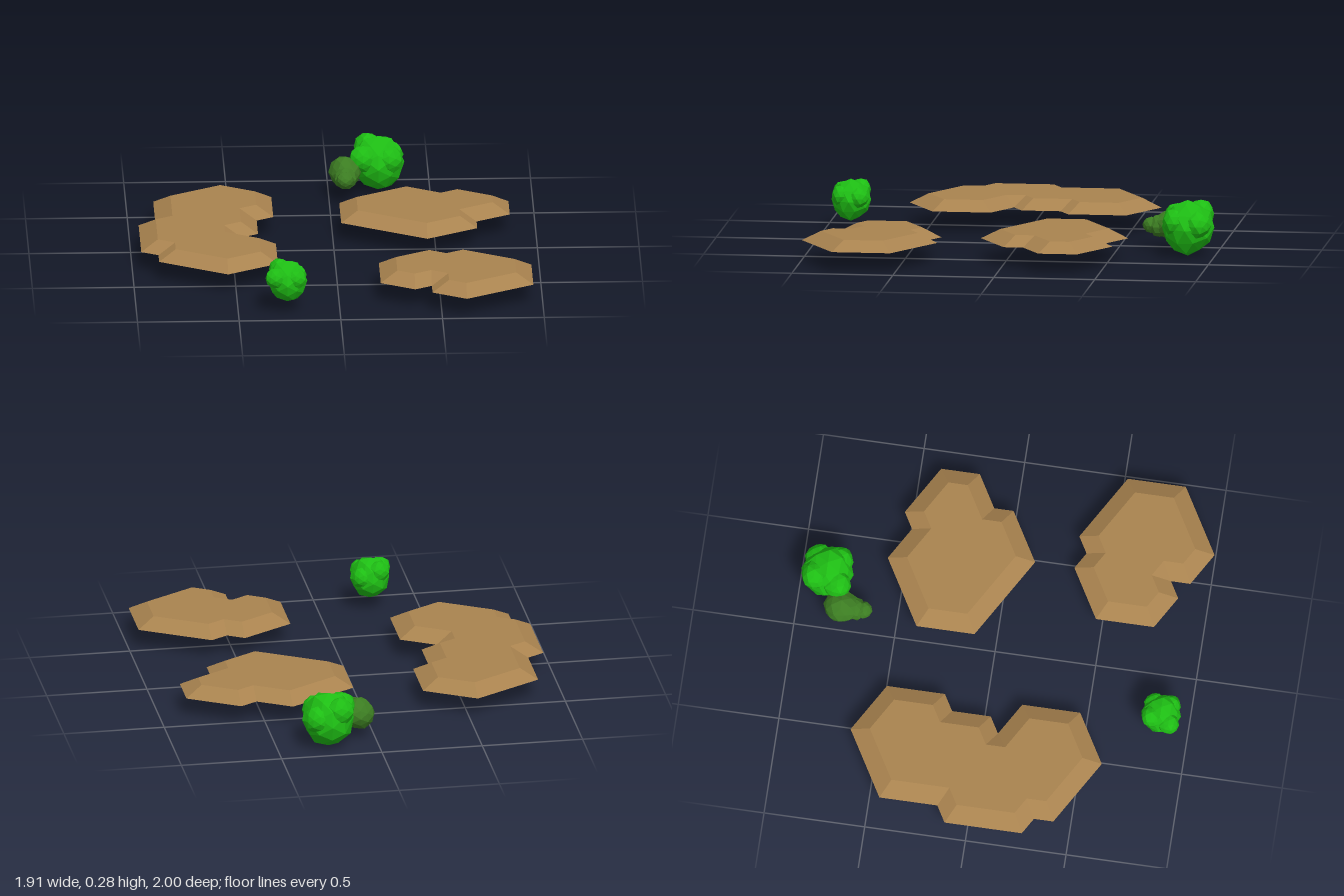
import * as THREE from 'three';

const BOTTOM = 0.105, TOP = 0.153, BEVEL = 0.083;
// Slab outlines lie on a hexagonal lattice with these steps.
const STEP_X = 0.0832, STEP_Z = 0.048;

const brown = new THREE.MeshStandardMaterial({ color: 0xa9834f, flatShading: true, side: THREE.DoubleSide });
const green = new THREE.MeshStandardMaterial({ color: 0x1ebe14, flatShading: true });
const darkGreen = new THREE.MeshStandardMaterial({ color: 0x3c7d22, flatShading: true });

// Offsets a corner inward between two edge normals.
function miter(p, n1, n2) {
  const sum = n1.clone().add(n2);
  return p.clone().addScaledVector(sum, BEVEL / (1 + n1.dot(n2)));
}

// Bevelled ground slab, open underneath; outline runs clockwise seen from above.
function makeSlab(name, x, z, cells) {
  const outer = cells.map(([i, j]) => new THREE.Vector2(x + i * STEP_X, z + j * STEP_Z));
  const count = outer.length;
  const normals = outer.map((p, i) => {
    const d = outer[(i + 1) % count].clone().sub(p).normalize();
    return new THREE.Vector2(-d.y, d.x);
  });

  const low = [], high = [];
  outer.forEach((p, i) => {
    const n1 = normals[(i + count - 1) % count], n2 = normals[i];
    if (n1.dot(n2) < -0.2) {
      // Sharp notches get a cut corner.
      const mid = n1.clone().add(n2).normalize();
      low.push(p, p);
      high.push(miter(p, n1, mid), miter(p, mid, n2));
    } else {
      low.push(p);
      high.push(miter(p, n1, n2));
    }
  });

  const positions = [];
  low.forEach((a, i) => {
    const k = (i + 1) % low.length;
    const b = low[k], A = high[i], B = high[k];
    positions.push(a.x, BOTTOM, a.y, A.x, TOP, A.y, B.x, TOP, B.y);
    if (a !== b) positions.push(a.x, BOTTOM, a.y, B.x, TOP, B.y, b.x, BOTTOM, b.y);
  });
  const sides = new THREE.BufferGeometry();
  sides.setAttribute('position', new THREE.Float32BufferAttribute(positions, 3));
  sides.computeVertexNormals();

  const cap = new THREE.ShapeGeometry(new THREE.Shape(high.map(p => new THREE.Vector2(p.x, -p.y))));
  cap.rotateX(-Math.PI / 2).translate(0, TOP, 0);

  const slab = new THREE.Group();
  slab.name = name;
  const sideMesh = new THREE.Mesh(sides, brown);
  sideMesh.name = 'slabBevel';
  const capMesh = new THREE.Mesh(cap, brown);
  capMesh.name = 'slabTop';
  slab.add(sideMesh, capMesh);
  return slab;
}

// Faceted leaf ball with slightly uneven corners.
function makeBall(name, material, [x, y, z], [rx, ry, rz], seed) {
  const geometry = new THREE.IcosahedronGeometry(1, 1);
  const pos = geometry.attributes.position;
  const v = new THREE.Vector3();
  for (let i = 0; i < pos.count; i++) {
    v.fromBufferAttribute(pos, i);
    const wave = Math.sin(v.x * 7.1 + v.y * 11.3 + v.z * 5.7 + seed);
    v.multiplyScalar(0.97 + 0.05 * wave);
    pos.setXYZ(i, v.x, v.y, v.z);
  }
  geometry.scale(rx, ry, rz);
  geometry.computeVertexNormals();
  const ball = new THREE.Mesh(geometry, material);
  ball.name = name;
  ball.position.set(x, y, z);
  return ball;
}

// Round bush: one main ball with smaller lobes.
function makeBush(name, x, y, z, size) {
  const bush = new THREE.Group();
  bush.name = name;
  bush.add(makeBall('bushBody', green, [0.005, 0, 0], [0.098, 0.107, 0.098], 1));
  const lobes = [[-0.052, 0.03, 0.045], [0.05, 0.015, -0.04], [-0.03, 0.045, -0.045], [0.045, 0.025, 0.04]];
  lobes.forEach((p, i) => bush.add(makeBall('bushLobe', green, p, [0.054, 0.054, 0.054], i * 2)));
  bush.position.set(x, y, z);
  bush.scale.setScalar(size);
  return bush;
}

export function createModel() {
  const model = new THREE.Group();
  model.name = 'groundPatchesWithBushes';

  model.add(
    makeSlab('rightSlab', -0.541, -0.638, [
      [0, 0], [3, 3], [3, 9], [2, 10], [2, 14], [1, 15], [3, 17], [3, 23],
      [0, 26], [-4, 22], [-4, 20], [-5, 19], [-5, 11], [-4, 10], [-4, 4]]),
    makeSlab('backLeftSlab', 0.372, -0.588, [
      [0, 0], [2, 2], [3, 1], [6, 4], [6, 8], [4, 10], [4, 12], [1, 15], [-4, 10], [-4, 4]]),
    makeSlab('frontLeftSlab', 0.454, 0.327, [
      [0, 0], [1, 1], [2, 0], [6, 4], [6, 10], [2, 14], [0, 12], [0, 10], [-1, 11], [-3, 9], [-3, 3]])
  );

  model.add(makeBush('frontBush', -0.265, 0.163, 0.865, 1));
  model.add(makeBush('backBush', 0.237, 0.146, -0.866, 1.32));

  // Low dark shrub beside the back bush, tapering forward.
  const shrub = new THREE.Group();
  shrub.name = 'darkShrub';
  shrub.add(
    makeBall('shrubBody', darkGreen, [0.082, 0.128, -0.775], [0.083, 0.08, 0.095], 3),
    makeBall('shrubMiddle', darkGreen, [0.08, 0.122, -0.705], [0.06, 0.058, 0.05], 5),
    makeBall('shrubTip', darkGreen, [0.077, 0.125, -0.665], [0.045, 0.042, 0.045], 1)
  );
  model.add(shrub);
  return model;
}
